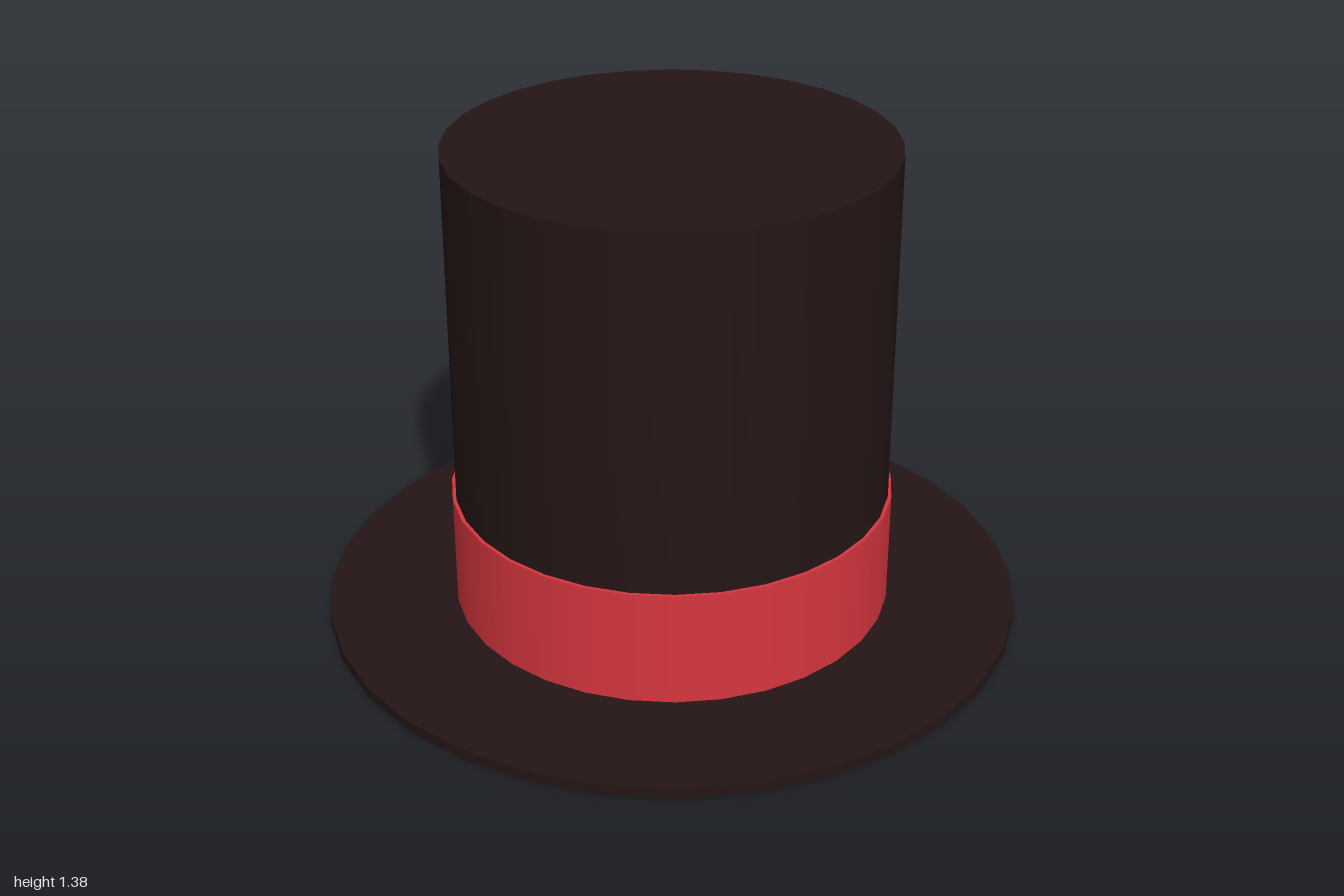
import * as THREE from 'three';
import { mergeGeometries } from 'three/addons/utils/BufferGeometryUtils.js';

const SIDES = 32;

// One mesh from a profile of [radius, y] points; each step is its own lathe so corners stay sharp.
function turned(name, color, profile) {
  const strips = [];
  for (let i = 0; i < profile.length - 1; i++) {
    const pair = [profile[i], profile[i + 1]].map(([r, y]) => new THREE.Vector2(r, y));
    strips.push(new THREE.LatheGeometry(pair, SIDES));
  }
  const material = new THREE.MeshStandardMaterial({ color, side: THREE.DoubleSide });
  const mesh = new THREE.Mesh(mergeGeometries(strips), material);
  mesh.name = name;
  return mesh;
}

export function createModel() {
  const hat = new THREE.Group();
  hat.name = 'topHat';

  const felt = 0x241515;
  const ribbon = 0xd6363e;

  // Thin brim: short outer edge, then flat in to the band
  hat.add(turned('brim', felt, [[1, 0], [1, 0.03], [0.633, 0.03]]));

  // Ribbon band with a narrow ledge on top
  hat.add(turned('band', ribbon, [[0.633, 0.03], [0.633, 0.365], [0.623, 0.365]]));

  // Hollow crown, very slightly tapered, closed by a flat top
  hat.add(turned('crown', felt, [[0.623, 0.365], [0.62, 1.385], [0, 1.385]]));

  return hat;
}
